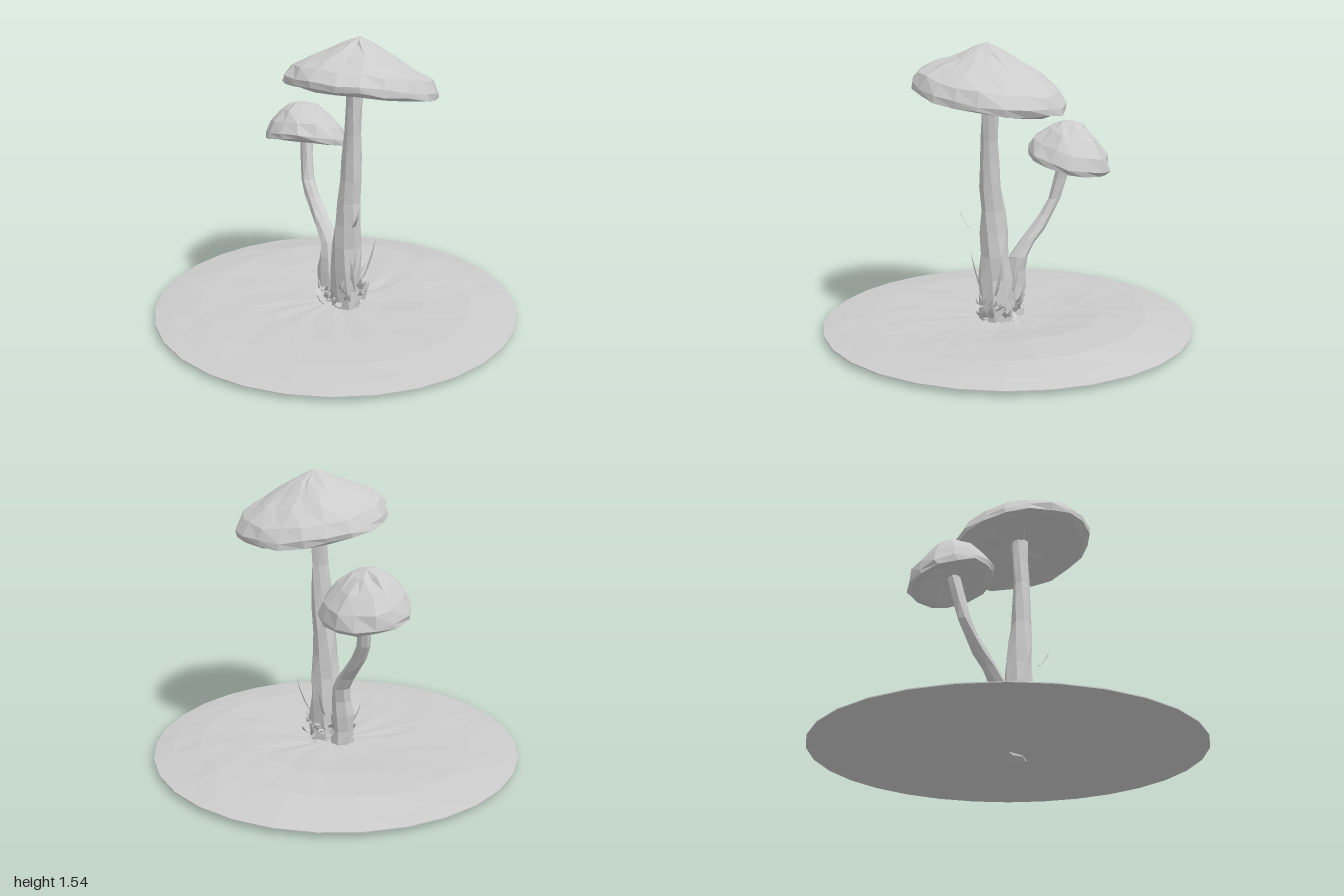
import * as THREE from 'three';
import { mergeGeometries } from 'three/addons/utils/BufferGeometryUtils.js';

const V = (x, y, z) => new THREE.Vector3(x, y, z);
const material = () => new THREE.MeshStandardMaterial({ color: 0xcccccc, flatShading: true, side: THREE.DoubleSide });

function makeRandom(seed) {
  return () => {
    seed = (seed * 16807) % 2147483647;
    return seed / 2147483647;
  };
}

// Same offset for the same place, so seams stay closed
function noise(x, y, z, k) {
  const q = (v) => Math.round(v * 1000);
  const s = Math.sin(q(x) * 0.129 + q(y) * 0.782 + q(z) * 0.377 + k * 3.1) * 4375.85;
  return s - Math.floor(s) - 0.5;
}

function deform(geometry, rule) {
  const p = geometry.attributes.position;
  const v = V(0, 0, 0);
  for (let i = 0; i < p.count; i++) {
    v.fromBufferAttribute(p, i);
    rule(v);
    p.setXYZ(i, v.x, v.y, v.z);
  }
  geometry.computeVertexNormals();
  return geometry;
}

function lathe(profile, sides) {
  return new THREE.LatheGeometry(profile.map(([r, y]) => new THREE.Vector2(r, y)), sides);
}

function addMesh(parent, name, geometry) {
  const mesh = new THREE.Mesh(geometry, material());
  mesh.name = name;
  parent.add(mesh);
  return mesh;
}

// Faceted cap: closed profile with uneven vertices, peak pushed forward
function capGeometry(profile, sides, rough, lean) {
  const peak = profile[profile.length - 1][1];
  return deform(lathe(profile, sides), (v) => {
    const { x, y, z } = v;
    const r = Math.hypot(x, z);
    const k = r < 0.01 ? 0 : rough;
    v.x += noise(x, y, z, 1) * k;
    v.z += noise(x, y, z, 2) * k + lean * Math.max(0, y / peak) ** 2;
    v.y += noise(x, y, z, 3) * k * 0.7;
  });
}

// Stem: rings following a list of [x, y, z, radius]
function stemGeometry(stations, sides, rows) {
  const path = new THREE.CatmullRomCurve3(stations.map((s) => V(s[0], s[1], s[2])));
  const n = stations.length - 1;
  return deform(new THREE.CylinderGeometry(1, 1, 1, sides, rows), (v) => {
    const t = v.y + 0.5;
    const i = Math.min(n - 1, Math.floor(t * n));
    const radius = THREE.MathUtils.lerp(stations[i][3], stations[i + 1][3], t * n - i);
    const c = path.getPoint(t);
    const k = radius * (1 + 0.25 * noise(v.x, v.y, v.z, 4));
    const twist = t * 1.2;
    v.set(
      c.x + k * (v.x * Math.cos(twist) - v.z * Math.sin(twist)),
      c.y,
      c.z + k * (v.x * Math.sin(twist) + v.z * Math.cos(twist))
    );
  });
}

// Thin curved blade: a tapering strip that bends along its length
function bladeGeometry(from, to, width, bend) {
  const g = new THREE.PlaneGeometry(1, 1, 1, 3);
  const dir = to.clone().sub(from);
  const side = V(-dir.z, 0, dir.x);
  if (side.length() < 0.001) side.set(1, 0, 0);
  side.normalize();
  return deform(g, (v) => {
    const t = v.y + 0.5;
    const w = v.x * width * (1 - t) * (0.6 + 1.8 * t);
    v.copy(from).addScaledVector(dir, t).addScaledVector(side, w);
    v.y -= bend * Math.sin(t * Math.PI);
  });
}

export function createModel() {
  const model = new THREE.Group();
  model.name = 'mushrooms';

  // Ground disc, swelling more towards the back
  const ground = lathe([
    [0, 0.025], [1, 0.025], [1, 0.03], [0.9, 0.042], [0.75, 0.055],
    [0.5, 0.055], [0.28, 0.05], [0, 0.048]
  ], 30);
  addMesh(model, 'ground', deform(ground, (v) => {
    const r = Math.hypot(v.x, v.z);
    if (v.y < 0.035 || r < 0.1) return;
    const back = Math.max(0, -v.z / r);
    const swell = Math.max(0, 1 - Math.abs(r - 0.6) / 0.4);
    v.y += 0.045 * back * swell + 0.008 * noise(v.x, v.y, v.z, 5);
  }));

  // Root under the disc
  const root = new THREE.DodecahedronGeometry(1, 0);
  root.scale(0.11, 0.03, 0.055);
  root.translate(0.06, 0.03, 0);
  addMesh(model, 'root', root);

  // Large mushroom
  const large = new THREE.Group();
  large.name = 'largeMushroom';
  model.add(large);
  addMesh(large, 'largeStem', stemGeometry([
    [0.09, 0.03, 0.01, 0.085], [0.085, 0.28, 0.01, 0.088], [0.095, 0.53, 0.015, 0.073],
    [0.113, 0.78, 0.015, 0.057], [0.125, 1.03, 0.01, 0.045], [0.127, 1.31, 0, 0.045]
  ], 8, 10));
  const largeCap = addMesh(large, 'largeCap', capGeometry([
    [0, 0.045], [0.1, 0.035], [0.24, 0.015], [0.37, -0.012], [0.412, 0.002], [0.412, 0.035],
    [0.37, 0.092], [0.27, 0.145], [0.17, 0.19], [0.08, 0.235], [0, 0.272]
  ], 20, 0.022, 0.06));
  largeCap.position.set(0.155, 1.26, -0.01);
  largeCap.rotation.x = -0.19;
  largeCap.scale.x = 0.96;

  // Small mushroom
  const small = new THREE.Group();
  small.name = 'smallMushroom';
  model.add(small);
  addMesh(small, 'smallStem', stemGeometry([
    [-0.04, 0.03, 0, 0.065], [-0.05, 0.22, 0, 0.062], [-0.06, 0.38, -0.02, 0.05],
    [-0.17, 0.52, -0.06, 0.042], [-0.27, 0.68, -0.1, 0.037], [-0.32, 0.92, -0.145, 0.034]
  ], 7, 10));
  const smallCap = addMesh(small, 'smallCap', capGeometry([
    [0, 0.03], [0.08, 0.02], [0.18, -0.01], [0.225, -0.008], [0.234, 0.02],
    [0.205, 0.085], [0.14, 0.155], [0.07, 0.2], [0, 0.215]
  ], 14, 0.02, 0.05));
  smallCap.position.set(-0.325, 0.885, -0.15);
  smallCap.rotation.set(-0.28, 0, 0.08);

  // Short ragged leaves around the foot
  const random = makeRandom(41);
  const leaves = [];
  for (let i = 0; i < 64; i++) {
    const a = random() * Math.PI * 2;
    const r = 0.75 + random() * 0.35;
    const from = V(0.045 + Math.cos(a) * 0.125 * r, 0.05 + random() * 0.1, Math.sin(a) * 0.1 * r);
    const turn = a + (random() - 0.5) * 2.4;
    const reach = 0.02 + random() * 0.045;
    const to = from.clone().add(V(Math.cos(turn) * reach, (random() - 0.25) * 0.13, Math.sin(turn) * reach));
    to.y = Math.max(to.y, 0.055);
    leaves.push(bladeGeometry(from, to, 0.03 + random() * 0.03, random() * 0.02));
  }
  addMesh(model, 'leaves', mergeGeometries(leaves));

  // Longer grass blades rising beside the stems
  const blades = [
    [V(0.14, 0.2, 0.06), V(0.205, 0.44, 0.08), 0.025],
    [V(0.15, 0.2, -0.05), V(0.18, 0.42, -0.13), 0.025],
    [V(0.15, 0.12, 0.03), V(0.17, 0.36, 0.09), 0.03],
    [V(0.17, 0.54, 0.08), V(0.245, 0.66, 0.125), 0.025],
    [V(-0.06, 0.15, 0.05), V(-0.1, 0.27, 0.1), 0.03],
    [V(0.05, 0.15, -0.08), V(0.08, 0.23, -0.18), 0.03],
    [V(0.03, 0.2, -0.06), V(0.03, 0.36, -0.11), 0.025],
    [V(0.02, 0.06, 0.1), V(0, 0.14, 0.17), 0.03]
  ].map(([from, to, width]) => bladeGeometry(from, to, width, 0.025));
  addMesh(model, 'grassBlades', mergeGeometries(blades));

  return model;
}
